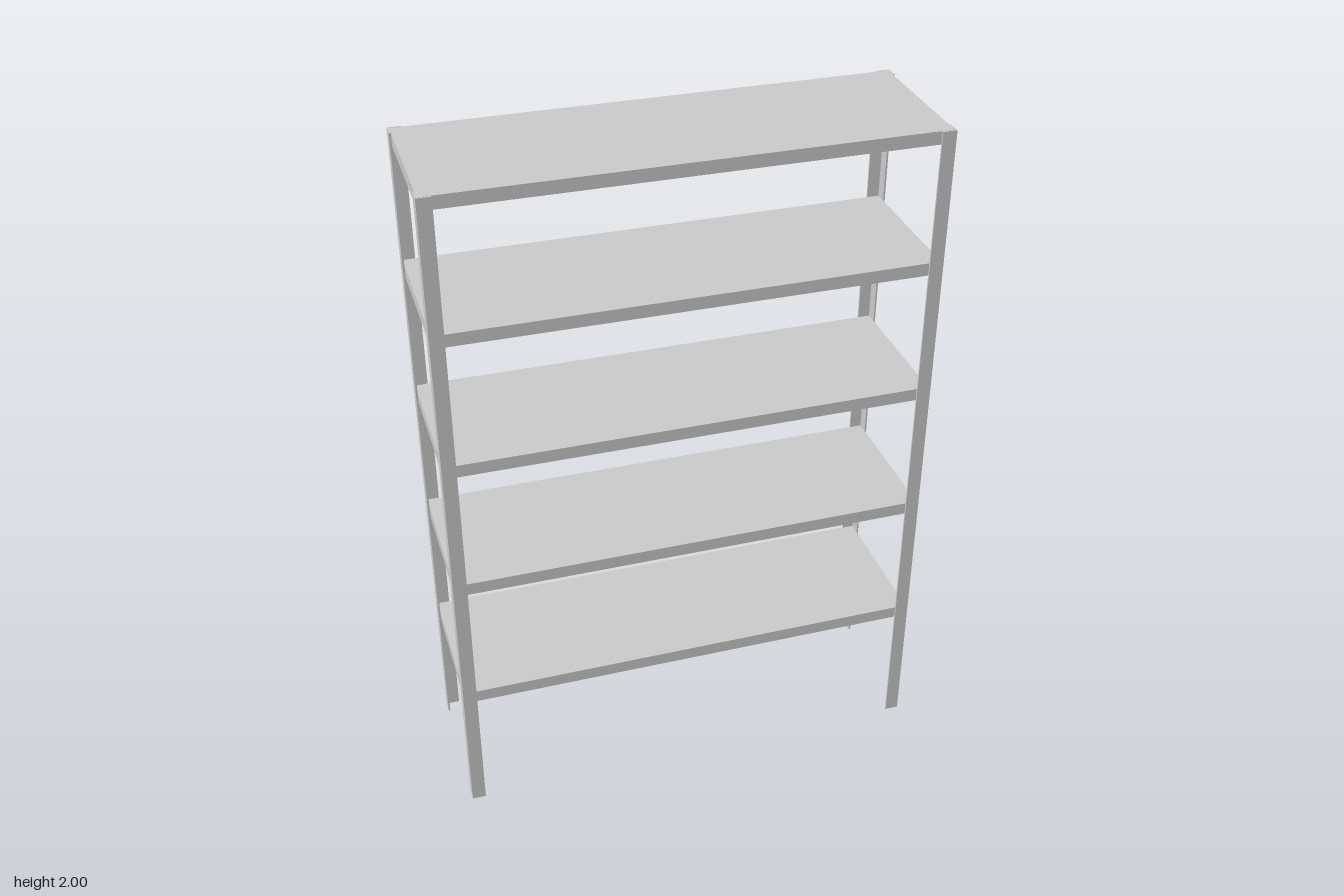
import * as THREE from 'three';

const H = 2, HX = 0.7, HZ = 0.222;   // overall height and half extents
const LEG = 0.04, T = 0.005;         // angle-post flange width, sheet thickness
const SX = 0.695, SZ = 0.216;        // shelf half extents
const RIM = 0.037;                   // shelf rim height

const material = new THREE.MeshStandardMaterial({ color: 0xcccccc });

function box(name, w, h, d, x, y, z) {
  const mesh = new THREE.Mesh(new THREE.BoxGeometry(w, h, d), material);
  mesh.name = name;
  mesh.position.set(x, y, z);
  return mesh;
}

// L-section post with its outer corner at (sx * HX, sz * HZ)
function post(sx, sz) {
  const points = [[0, 0], [LEG, 0], [LEG, T], [T, T], [T, LEG], [0, LEG]]
    .map(([a, b]) => new THREE.Vector2(sx * (HX - a), -sz * (HZ - b)));
  const geometry = new THREE.ExtrudeGeometry(new THREE.Shape(points), { depth: H, bevelEnabled: false });
  geometry.rotateX(-Math.PI / 2);
  const mesh = new THREE.Mesh(geometry, material);
  mesh.name = (sz > 0 ? 'front' : 'back') + (sx > 0 ? 'Left' : 'Right') + 'Post';
  return mesh;
}

// Sheet tray, open underneath, with its deck at height y
function shelf(y, index) {
  const group = new THREE.Group();
  group.name = 'shelf' + (index + 1);
  group.add(box('deck', 2 * SX, T, 2 * SZ, 0, y - T / 2, 0));
  const h = RIM - T, ry = y - T - h / 2;
  for (const s of [-1, 1]) {
    group.add(box(s > 0 ? 'frontRim' : 'backRim', 2 * SX, h, T, 0, ry, s * (SZ - T / 2)));
    group.add(box(s > 0 ? 'leftRim' : 'rightRim', T, h, 2 * (SZ - T), s * (SX - T / 2), ry, 0));
  }
  return group;
}

export function createModel() {
  const model = new THREE.Group();
  model.name = 'shelvingUnit';
  for (const sx of [-1, 1]) for (const sz of [-1, 1]) model.add(post(sx, sz));
  [0.422, 0.821, 1.221, 1.62, 2].forEach((y, i) => model.add(shelf(y, i)));
  return model;
}
